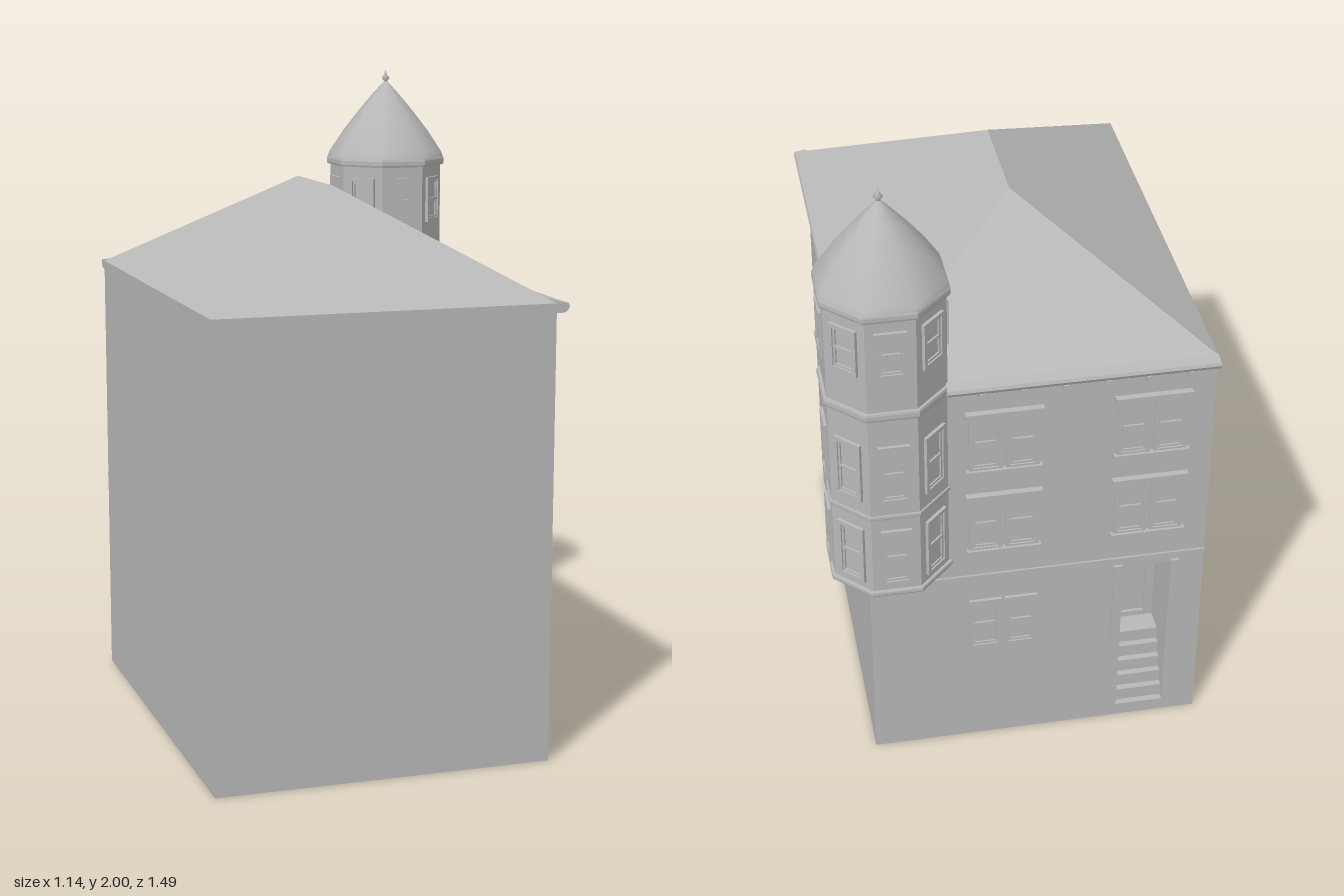
import * as THREE from 'three';

const stone = new THREE.MeshStandardMaterial({ color: 0xb8b8b8, side: THREE.DoubleSide });
stone.name = 'pale grey stone';

// Main block extents
const X0 = -0.575, X1 = 0.455, Z0 = -0.635, Z1 = 0.74, EAVE = 1.38;
const TX = 0.385, TZ = -0.562; // turret axis

function add(parent, name, geo, x = 0, y = 0, z = 0) {
  const m = new THREE.Mesh(geo, stone);
  m.name = name;
  m.position.set(x, y, z);
  parent.add(m);
  return m;
}
const box = (parent, name, w, h, d, x, y, z) =>
  add(parent, name, new THREE.BoxGeometry(w, h, d), x, y, z);

function rect(path, w, h, x = 0, y = 0) {
  path.moveTo(x - w / 2, y - h / 2);
  path.lineTo(x + w / 2, y - h / 2);
  path.lineTo(x + w / 2, y + h / 2);
  path.lineTo(x - w / 2, y + h / 2);
  path.closePath();
  return path;
}
function ring(w, h, border, depth) {
  const s = rect(new THREE.Shape(), w, h);
  s.holes.push(rect(new THREE.Path(), w - 2 * border, h - 2 * border));
  return new THREE.ExtrudeGeometry(s, { depth, bevelEnabled: false });
}

// Sash window on a wall facing local +z, centred on its origin
function makeWindow(w, h, trimmed = true) {
  const g = new THREE.Group();
  g.name = 'window';
  add(g, 'windowFrame', ring(w, h, 0.012, 0.01));
  add(g, 'windowSash', ring(w - 0.024, h - 0.024, 0.007, 0.005));
  box(g, 'meetingRail', w - 0.024, 0.009, 0.006, 0, 0, 0.003);
  if (trimmed) {
    box(g, 'windowLintel', w + 0.02, 0.018, 0.02, 0, h / 2 + 0.004, 0.01);
    box(g, 'windowSill', w + 0.016, 0.01, 0.018, 0, -h / 2, 0.009);
  }
  return g;
}

// Eight-sided surface from [apothem, y] points
function octagon(points, smooth = false) {
  const profile = points.map(([a, y]) => new THREE.Vector2(a / Math.cos(Math.PI / 8), y));
  let geo = new THREE.LatheGeometry(profile, 8, Math.PI / 8);
  if (!smooth) {
    geo = geo.toNonIndexed();
    geo.computeVertexNormals();
  }
  return geo;
}

function hipRoof() {
  const a = [X0, EAVE, Z1], b = [X1, EAVE, Z1], c = [X1, EAVE, Z0], d = [X0, EAVE, Z0];
  const r = [-0.06, 1.69, 0.23], s = [-0.06, 1.69, -0.12];
  const tris = [a, b, r, b, c, s, b, s, r, c, d, s, d, a, r, d, r, s];
  const geo = new THREE.BufferGeometry();
  geo.setAttribute('position', new THREE.Float32BufferAttribute(tris.flat(), 3));
  geo.computeVertexNormals();
  return geo;
}

function makeDoorway(parent) {
  const x = -0.395, w = 0.15, top = 0.62, depth = 0.17;
  const g = new THREE.Group();
  g.name = 'doorway';
  parent.add(g);
  // Recess lining
  for (const s of [-1, 1]) {
    add(g, 'recessSide', new THREE.PlaneGeometry(depth, top), x + s * w / 2, top / 2, Z0 + depth / 2)
      .rotation.y = -s * Math.PI / 2;
    box(g, 'doorPilaster', 0.028, 0.35, 0.01, x + s * (w / 2 + 0.014), 0.455, Z0 - 0.004);
  }
  add(g, 'recessCeiling', new THREE.PlaneGeometry(w, depth), x, top, Z0 + depth / 2).rotation.x = Math.PI / 2;
  add(g, 'recessBack', new THREE.PlaneGeometry(w, top), x, top / 2, Z0 + depth).rotation.y = Math.PI;
  const door = add(g, 'door', ring(0.12, 0.34, 0.016, 0.01), x, 0.44, Z0 + depth);
  door.rotation.y = Math.PI;
  // Steps climbing inward
  const n = 6, run = 0.02, rise = 0.043;
  for (let i = 0; i < n; i++) {
    const d = depth - i * run;
    box(g, 'step', w, rise, d, x, (i + 0.5) * rise, Z0 + depth - d / 2);
  }
}

function makeTurret(parent) {
  const g = new THREE.Group();
  g.name = 'turret';
  g.position.set(TX, 0, TZ);
  parent.add(g);
  const A = 0.172;
  add(g, 'turretBase', octagon([[0, 0.66], [0.095, 0.66], [0.178, 0.715]]));
  add(g, 'turretWall', octagon([[A, 0.715], [A, 1.7]]));
  // Moulded bands between the storeys
  for (const [y, h, out] of [[0.722, 0.018, 0.009], [1.005, 0.014, 0.005], [1.367, 0.026, 0.01], [1.697, 0.026, 0.011]]) {
    add(g, 'turretBand', octagon([[A, y - h / 2], [A + out * 0.8, y - h / 2], [A + out, y - h / 4],
      [A + out, y + h / 4], [A + out * 0.8, y + h / 2], [A, y + h / 2]]));
  }
  // One window per face on every storey
  for (let i = 0; i < 8; i++) {
    const t = i * Math.PI / 4;
    for (const [y, h] of [[0.855, 0.2], [1.16, 0.2], [1.572, 0.15]]) {
      const win = makeWindow(0.092, h, false);
      win.position.set(Math.sin(t) * A, y, Math.cos(t) * A);
      win.rotation.y = t;
      g.add(win);
    }
  }
  add(g, 'turretRoof', octagon([[0.182, 1.705], [0.176, 1.725], [0.13, 1.8], [0.083, 1.865],
    [0.036, 1.925], [0.006, 1.96]], true));
  const finial = [[0.006, 1.95], [0.006, 1.962], [0.014, 1.972], [0.006, 1.982], [0, 2]];
  add(g, 'finial', new THREE.LatheGeometry(finial.map(([r, y]) => new THREE.Vector2(r, y)), 8));
}

export function createModel() {
  const model = new THREE.Group();
  model.name = 'cornerBuilding';
  const W = X1 - X0, D = Z1 - Z0, CX = (X0 + X1) / 2, CZ = (Z0 + Z1) / 2;

  // Walls, open underneath; the back wall has the door opening
  add(model, 'frontWall', new THREE.PlaneGeometry(W, EAVE), CX, EAVE / 2, Z1);
  add(model, 'leftWall', new THREE.PlaneGeometry(D, EAVE), X1, EAVE / 2, CZ).rotation.y = Math.PI / 2;
  add(model, 'rightWall', new THREE.PlaneGeometry(D, EAVE), X0, EAVE / 2, CZ).rotation.y = -Math.PI / 2;
  const back = rect(new THREE.Shape(), W, EAVE, -CX, EAVE / 2);
  back.holes.push(rect(new THREE.Path(), 0.15, 0.615, 0.395, 0.3125));
  add(model, 'backWall', new THREE.ShapeGeometry(back), 0, 0, Z0).rotation.y = Math.PI;
  add(model, 'hipRoof', hipRoof());

  // String course above the ground floor
  box(model, 'stringCourse', 0.012, 0.016, D, X1, 0.653, CZ);
  box(model, 'stringCourse', W, 0.016, 0.012, CX, 0.653, Z0);

  // Cornices with a rounded outer edge, and brackets beneath
  const profile = new THREE.Shape();
  profile.moveTo(0, 1.352);
  profile.lineTo(0.026, 1.352);
  profile.lineTo(0.036, 1.36);
  profile.lineTo(0.041, 1.37);
  profile.lineTo(0.037, 1.38);
  profile.lineTo(0, 1.386);
  const cornice = (len) => new THREE.ExtrudeGeometry(profile, { depth: len, bevelEnabled: false });
  add(model, 'leftCornice', cornice(Z1 + 0.4), X1, 0, -0.4);
  add(model, 'backCornice', cornice(0.22 - X0), 0.22, 0, Z0).rotation.set(0, Math.PI / 2, 0);
  model.getObjectByName('backCornice').rotation.y = Math.PI / 2;
  // Extrusion runs from x = X0 toward the turret
  model.getObjectByName('backCornice').position.x = X0;
  model.getObjectByName('backCornice').scale.set(1, 1, 1);
  for (let i = 0; i < 9; i++) box(model, 'bracket', 0.032, 0.022, 0.016, X1 + 0.016, 1.342, 0.65 - i * 0.122);
  for (let i = 0; i < 6; i++) box(model, 'bracket', 0.016, 0.022, 0.032, -0.49 + i * 0.122, 1.342, Z0 - 0.016);

  // Windows: upper floors trimmed, ground floor plain
  const floors = [[0.465, 0.19, false], [0.86, 0.2, true], [1.16, 0.2, true]];
  for (const [y, h, trimmed] of floors) {
    for (const z of [0.44, 0.115, -0.205]) {
      const win = makeWindow(0.098, h, trimmed);
      win.position.set(X1, y, z);
      win.rotation.y = Math.PI / 2;
      model.add(win);
    }
    for (const x of trimmed ? [0.05, -0.39] : [0.05]) {
      for (const s of [-1, 1]) {
        const win = makeWindow(0.1, h, trimmed);
        win.position.set(x + s * 0.055, y, Z0);
        win.rotation.y = Math.PI;
        model.add(win);
      }
    }
  }

  makeDoorway(model);
  makeTurret(model);
  return model;
}
